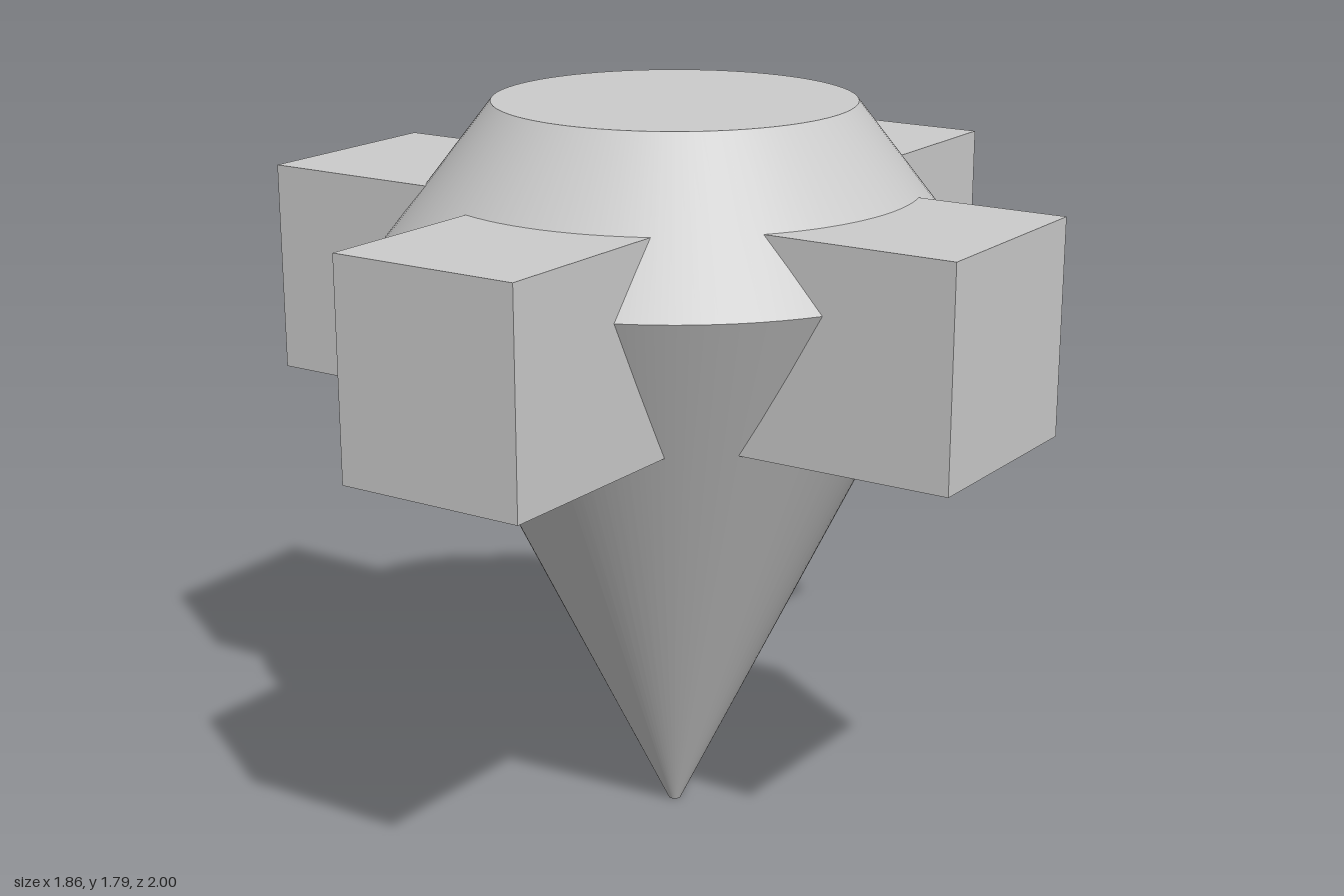
import * as THREE from 'three';

const material = new THREE.MeshStandardMaterial({ color: 0xcccccc });

// Body outline from the tip up to the flat top, as [radius, height]
const PROFILE = [[0, 0], [0.015, 0], [0.71, 1.43], [0.43, 1.79], [0, 1.79]];
const BANDS = ['tip', 'lowerCone', 'upperBevel', 'topFace'];

// Block limits
const Y0 = 1.08, Y1 = 1.59, INNER = 0.34;

function addBlock(group, name, [x0, x1], [z0, z1]) {
  const mesh = new THREE.Mesh(new THREE.BoxGeometry(x1 - x0, Y1 - Y0, z1 - z0), material);
  mesh.position.set((x0 + x1) / 2, (Y0 + Y1) / 2, (z0 + z1) / 2);
  mesh.name = name;
  group.add(mesh);
}

export function createModel() {
  const model = new THREE.Group();
  model.name = 'spinningTop';

  // Turned body: one smooth lathe per band keeps the rims sharp
  const body = new THREE.Group();
  body.name = 'body';
  BANDS.forEach((name, i) => {
    const points = [PROFILE[i], PROFILE[i + 1]].map(([r, y]) => new THREE.Vector2(r, y));
    const mesh = new THREE.Mesh(new THREE.LatheGeometry(points, 96), material);
    mesh.name = name;
    body.add(mesh);
  });
  model.add(body);

  // Four blocks sunk into the body, slightly off its axis
  const blocks = new THREE.Group();
  blocks.name = 'blocks';
  addBlock(blocks, 'frontBlock', [-0.19, 0.28], [INNER, 1]);
  addBlock(blocks, 'backBlock', [-0.19, 0.28], [-1, -INNER]);
  addBlock(blocks, 'leftBlock', [INNER, 0.93], [-0.17, 0.355]);
  addBlock(blocks, 'rightBlock', [-0.93, -INNER], [-0.17, 0.355]);
  model.add(blocks);

  return model;
}
